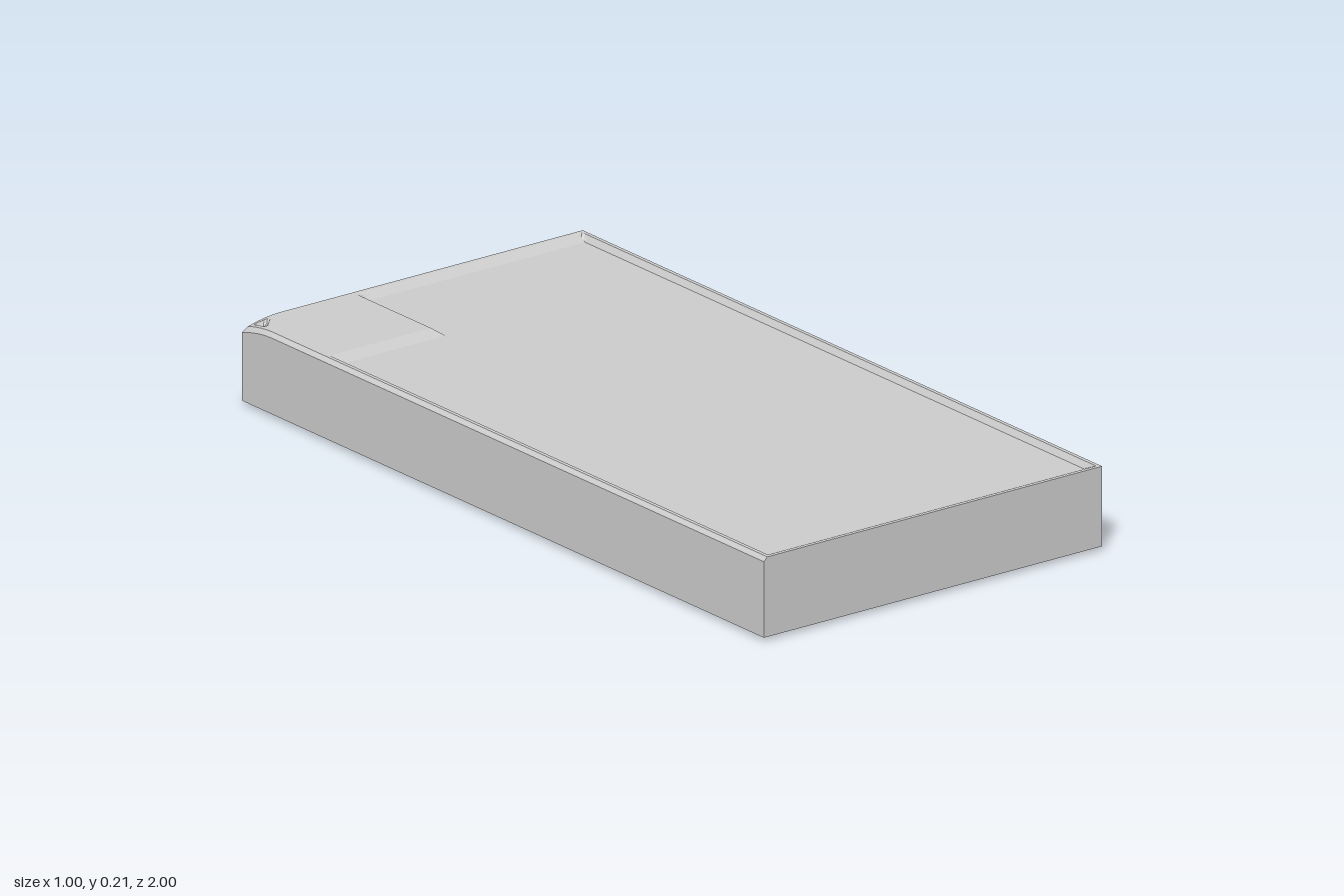
import * as THREE from 'three';

const RIM = 0.21, DEPTH = 0.015, BASE = 0.01;
const clamp = v => Math.min(1, Math.max(0, v));
const ramp = (v, a, b) => clamp((v - a) / (b - a));

// Grid lines at every crease, with fine steps around the worn back corner
const fine = start => Array.from({ length: 14 }, (_, i) => +(start + i * 0.01).toFixed(3));
const xs = [...fine(-0.5), -0.2, -0.18, -0.16, 0.46, 0.48, 0.49, 0.5];
const zs = [...fine(-1), -0.955, -0.69, -0.66, 0.955, 0.99, 1].sort((a, b) => a - b);

// Upper surface: sunken floor, raised corner pad, bevelled edges, rounded corner with a notch
function topHeight(x, z) {
  const sunken = Math.min(
    ramp(x, -0.48, -0.47), ramp(x, 0.49, 0.48),
    ramp(z, -0.98, -0.955), ramp(z, 0.99, 0.955),
    Math.max(ramp(x, -0.18, -0.16), ramp(z, -0.69, -0.66)));
  const bevel = 0.01 * Math.max(ramp(x, -0.49, -0.5), ramp(z, -0.99, -1));
  const round = 0.02 * Math.max(0, 1 - (x + z + 1.5) / 0.12) ** 2;
  const notch = 0.015 * clamp(Math.min(
    (x + 0.48) / 0.01, (z + 0.98) / 0.01, (-1.41 - x - z) / 0.02));
  return RIM - DEPTH * sunken - bevel - round - notch;
}

// Underside: flat, with a shallow bulge along the back edge
function bottomHeight(x, z) {
  const across = Math.min(ramp(x, -0.39, -0.2), ramp(x, 0.46, -0.2));
  return BASE - 0.01 * across * ramp(z, -0.92, -1);
}

// Sheet over the grid; each cell is split along the diagonal that follows the creases
function sheet(height, up) {
  const pos = [], index = [], n = xs.length;
  for (const z of zs) for (const x of xs) pos.push(x, height(x, z), z);
  const tri = (a, b, c) => index.push(...(up ? [a, b, c] : [a, c, b]));
  for (let j = 0; j < zs.length - 1; j++) {
    for (let i = 0; i < n - 1; i++) {
      const a = j * n + i, b = a + 1, c = a + n, d = c + 1;
      const y = k => pos[3 * k + 1];
      const mid = height((xs[i] + xs[i + 1]) / 2, (zs[j] + zs[j + 1]) / 2);
      if (Math.abs((y(a) + y(d)) / 2 - mid) <= Math.abs((y(b) + y(c)) / 2 - mid)) {
        tri(a, c, d); tri(a, d, b);
      } else {
        tri(a, c, b); tri(b, c, d);
      }
    }
  }
  return build(pos, index);
}

// Side wall joining the upper and lower sheets along a run of points
function wall(points) {
  const pos = [], index = [];
  for (const [x, z] of points) pos.push(x, bottomHeight(x, z), z, x, topHeight(x, z), z);
  for (let i = 0; i < points.length - 1; i++) {
    const a = 2 * i;
    index.push(a, a + 2, a + 3, a, a + 3, a + 1);
  }
  return build(pos, index);
}

function build(pos, index) {
  const g = new THREE.BufferGeometry();
  g.setAttribute('position', new THREE.Float32BufferAttribute(pos, 3));
  g.setIndex(index);
  g.computeVertexNormals();
  return g;
}

export function createModel() {
  const group = new THREE.Group();
  group.name = 'tray';
  const material = new THREE.MeshStandardMaterial({ color: 0xcccccc, flatShading: true });
  const parts = {
    trayTop: sheet(topHeight, true),
    underside: sheet(bottomHeight, false),
    frontWall: wall(xs.map(x => [x, 1])),
    backWall: wall(xs.map(x => [x, -1]).reverse()),
    leftWall: wall(zs.map(z => [0.5, z]).reverse()),
    rightWall: wall(zs.map(z => [-0.5, z])),
  };
  for (const [name, geometry] of Object.entries(parts)) {
    const mesh = new THREE.Mesh(geometry, material);
    mesh.name = name;
    group.add(mesh);
  }
  return group;
}
